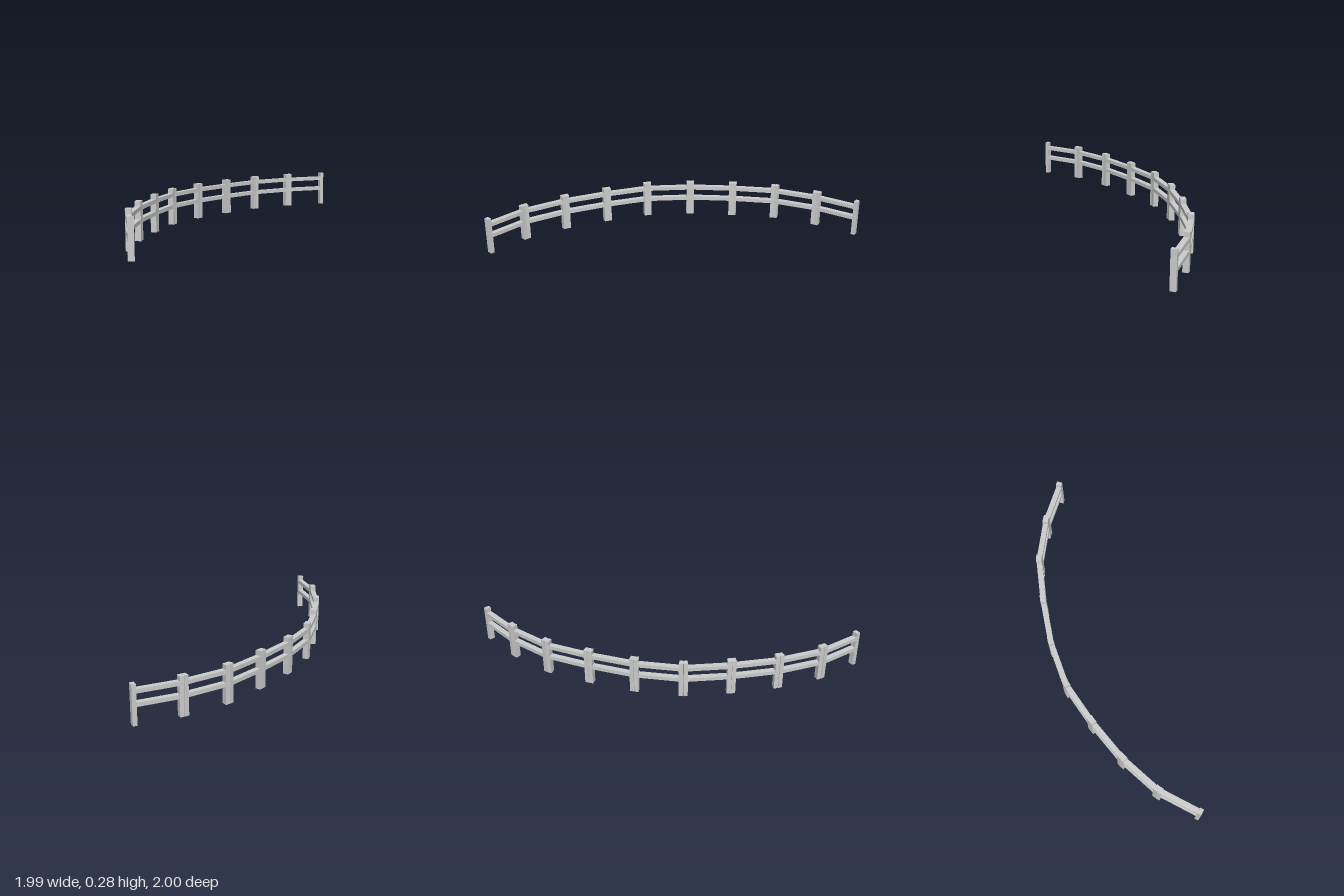
import * as THREE from 'three';

const POST_HEIGHT = 0.277, POST_LENGTH = 0.03, THICKNESS = 0.042;
const RAIL_HEIGHT = 0.029, RAIL_CENTRES = [0.139, 0.228];

// Ground points (x, z) where neighbouring fence panels meet
const joints = [
  [-0.977, 0.999], [-0.95, 0.662], [-0.84, 0.341], [-0.682, 0.037], [-0.502, -0.248],
  [-0.25, -0.485], [0.031, -0.679], [0.322, -0.849], [0.65, -0.943], [0.989, -0.979],
];

export function createModel() {
  const fence = new THREE.Group();
  fence.name = 'curvedFence';
  const material = new THREE.MeshStandardMaterial({ color: 0xcccccc, flatShading: true });

  const addBox = (parent, name, size, position) => {
    const mesh = new THREE.Mesh(new THREE.BoxGeometry(...size), material);
    mesh.name = name;
    mesh.position.set(...position);
    parent.add(mesh);
  };

  for (let i = 0; i < joints.length - 1; i++) {
    const [x0, z0] = joints[i], [x1, z1] = joints[i + 1];
    const length = Math.hypot(x1 - x0, z1 - z0);

    // Straight panel, its length along local x
    const panel = new THREE.Group();
    panel.name = `panel${i + 1}`;
    panel.position.set((x0 + x1) / 2, 0, (z0 + z1) / 2);
    panel.rotation.y = -Math.atan2(z1 - z0, x1 - x0);

    // A post at each end
    for (const side of [-1, 1]) {
      addBox(panel, side < 0 ? 'startPost' : 'endPost',
        [POST_LENGTH, POST_HEIGHT, THICKNESS],
        [side * (length - POST_LENGTH) / 2, POST_HEIGHT / 2, 0]);
    }

    // Two rails between the posts
    RAIL_CENTRES.forEach((y, k) => addBox(panel, k ? 'upperRail' : 'lowerRail',
      [length - 2 * POST_LENGTH, RAIL_HEIGHT, THICKNESS - 0.002], [0, y, 0]));

    fence.add(panel);
  }
  return fence;
}
